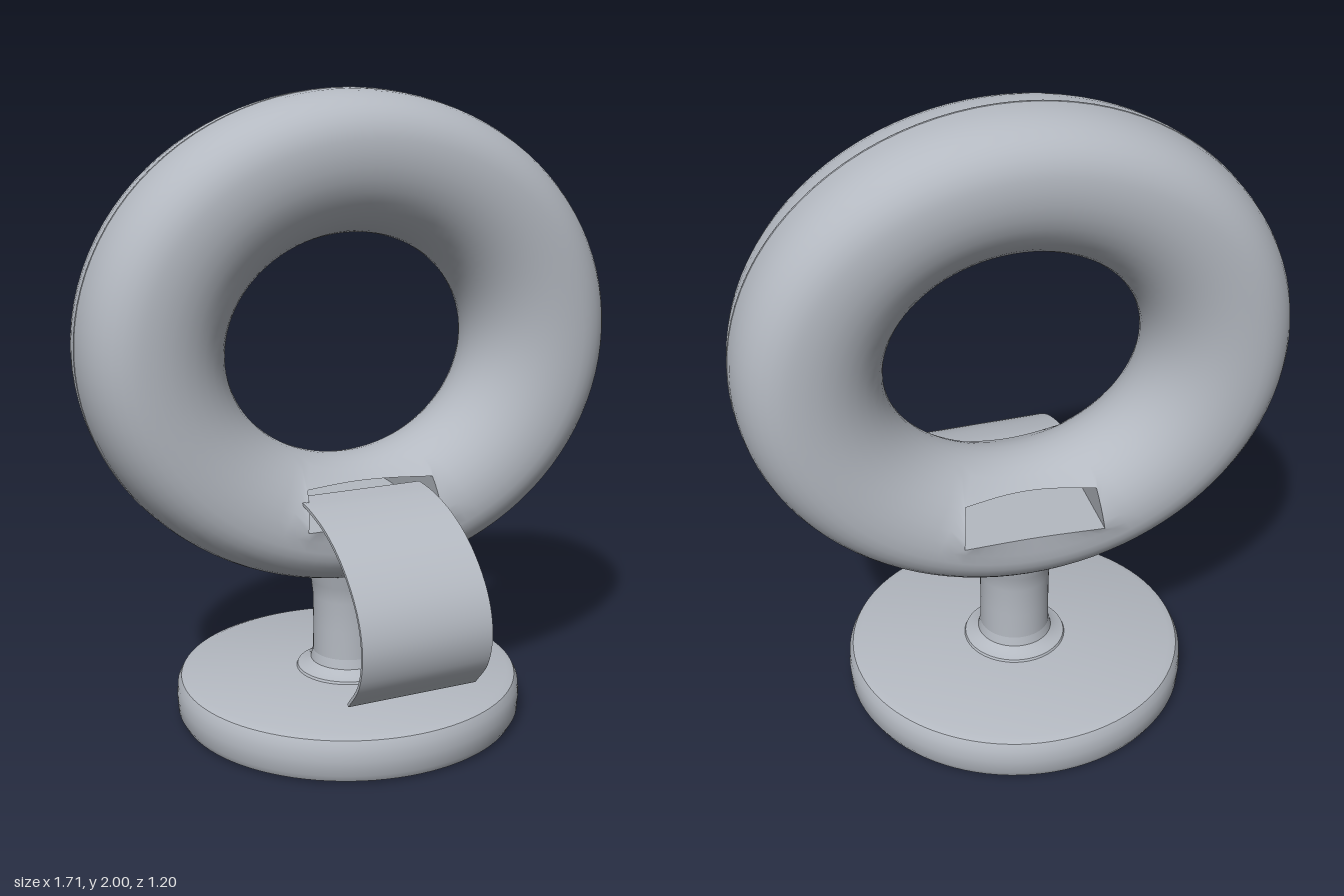
import * as THREE from 'three';
import { toCreasedNormals } from 'three/addons/utils/BufferGeometryUtils.js';

const COLS = 96, ROWS = 40;         // around the ring, around its cross-section
const SLOT = 6, K1 = 11, K2 = 16;   // slot half-width in columns, its lower and upper row
const CREST = 0.67, DEPTH = 0.235, OUT = 0.185, IN = 0.262;

// Ellipse of the ring at nominal radius r
function ellipse(r) {
  const f = (r - 0.408) / 0.447;
  return { ry: 0.35 + 0.41 * f, cy: 1.218 + 0.022 * f };
}

// Half depth of the ring at nominal radius r
function halfDepth(r) {
  const p = r > CREST ? 2.4 : 2;
  const u = Math.min(1, Math.abs(r - CREST) / (r > CREST ? OUT : IN));
  return DEPTH * Math.pow(1 - Math.pow(u, p), 1 / p);
}

// Nominal radius whose ellipse passes through (x, y)
function radiusAt(x, y) {
  let lo = 0.408, hi = 0.855;
  for (let i = 0; i < 30; i++) {
    const r = (lo + hi) / 2, { ry, cy } = ellipse(r);
    if ((x / r) ** 2 + ((y - cy) / ry) ** 2 > 1) lo = r; else hi = r;
  }
  return lo;
}

function ringPoint(col, row) {
  const front = row <= ROWS / 2;
  const k = front ? row : ROWS - row;
  const side = front ? 1 : -1;
  // Straight-edged slot through the bottom of the ring
  if (Math.abs(col) <= SLOT && k >= K1 && k <= K2) {
    const f = (k - K1) / (K2 - K1);
    const x = (0.222 - 0.015 * f) * col / SLOT;
    const y = 0.70 + 0.12 * f;
    return [x, y, side * (halfDepth(radiusAt(x, y)) + 0.012)];
  }
  const phi = k / ROWS * Math.PI * 2, c = Math.cos(phi);
  const p = c > 0 ? 2.4 : 2;
  const r = CREST + Math.sign(c) * (c > 0 ? OUT : IN) * Math.pow(Math.abs(c), 2 / p);
  const w = k === 0 || k === ROWS / 2 ? 0 : DEPTH * Math.pow(Math.sin(phi), 2 / p);
  const a = col / COLS * Math.PI * 2, { ry, cy } = ellipse(r);
  return [r * Math.sin(a), cy - ry * Math.cos(a), side * w];
}

function indexed(positions, index) {
  const g = new THREE.BufferGeometry();
  g.setAttribute('position', new THREE.Float32BufferAttribute(positions, 3));
  g.setIndex(index);
  g.computeVertexNormals();
  return g;
}

function ringGeometry() {
  const pos = [], idx = [];
  const id = (c, r) => ((c + COLS) % COLS) * ROWS + (r % ROWS);
  for (let c = 0; c < COLS; c++) {
    for (let r = 0; r < ROWS; r++) {
      pos.push(...ringPoint(c > COLS / 2 ? c - COLS : c, r));
    }
  }
  for (let c = -COLS / 2; c < COLS / 2; c++) {
    for (let r = 0; r < ROWS; r++) {
      const k = r < ROWS / 2 ? r : ROWS - 1 - r;
      if (c >= -SLOT && c < SLOT && k >= K1 && k < K2) continue;
      const a = id(c, r), b = id(c + 1, r), d = id(c, r + 1), e = id(c + 1, r + 1);
      idx.push(a, b, d, b, e, d);
    }
  }
  return indexed(pos, idx);
}

// Wall joining the front and back openings along a list of [col, row] pairs
function tunnelWall(cells) {
  const pos = [], idx = [];
  cells.forEach(([c, r], i) => {
    pos.push(...ringPoint(c, r), ...ringPoint(c, ROWS - r));
    const v = 2 * i;
    if (i) idx.push(v - 2, v - 1, v, v, v - 1, v + 1);
  });
  return indexed(pos, idx);
}

// Thin curled band, drawn as a side profile and given its width by extrusion
function strapGeometry() {
  const curve = new THREE.CatmullRomCurve3([
    [0.10, 0.787], [0.20, 0.776], [0.33, 0.738], [0.45, 0.665],
    [0.54, 0.56], [0.57, 0.455], [0.548, 0.355], [0.475, 0.267],
  ].map(([z, y]) => new THREE.Vector3(z + 0.055, y, 0)));
  const upper = [], lower = [], n = 36;
  for (let i = 0; i <= n; i++) {
    const p = curve.getPoint(i / n), t = curve.getTangent(i / n);
    upper.push(new THREE.Vector2(p.x - t.y * 0.005, p.y + t.x * 0.005));
    lower.push(new THREE.Vector2(p.x + t.y * 0.005, p.y - t.x * 0.005));
  }
  const g = new THREE.ExtrudeGeometry(new THREE.Shape([...upper, ...lower.reverse()]),
    { depth: 0.42, bevelEnabled: false });
  g.translate(0, 0, -0.21);
  g.rotateY(-Math.PI / 2);
  return toCreasedNormals(g, 0.6);
}

function lathe(points, segments) {
  const g = new THREE.LatheGeometry(points.map(([x, y]) => new THREE.Vector2(x, y)), segments);
  return toCreasedNormals(g, 0.6);
}

export function createModel() {
  const grey = new THREE.MeshStandardMaterial({ color: 0xb4b9c1 });
  grey.name = 'grey';
  grey.side = THREE.DoubleSide;

  const model = new THREE.Group();
  const add = (parent, name, geometry) => {
    const mesh = new THREE.Mesh(geometry, grey);
    mesh.name = name;
    parent.add(mesh);
    return mesh;
  };

  // Round foot, low collar and flared stem
  const stand = new THREE.Group();
  stand.name = 'stand';
  stand.position.z = -0.05;
  model.add(stand);
  const base = add(stand, 'base', lathe([[0, 0], [0.525, 0], [0.545, 0.008], [0.557, 0.03],
    [0.56, 0.075], [0.557, 0.115], [0.545, 0.138], [0.52, 0.148], [0, 0.15]], 96));
  base.scale.z = 0.985;
  add(stand, 'collar', lathe([[0.17, 0.145], [0.165, 0.157], [0.14, 0.165], [0.122, 0.18],
    [0.115, 0.21]], 48));
  add(stand, 'stem', lathe([[0.115, 0.15], [0.113, 0.3], [0.114, 0.4], [0.12, 0.45],
    [0.135, 0.49], [0.14, 0.53]], 48));

  // Upright ring, turned slightly, with the slot through its foot
  const head = new THREE.Group();
  head.name = 'head';
  head.position.z = -0.055;
  head.rotation.y = 0.091;
  model.add(head);
  add(head, 'ring', ringGeometry());
  const across = Array.from({ length: 2 * SLOT + 1 }, (_, i) => i - SLOT);
  const along = Array.from({ length: K2 - K1 + 1 }, (_, i) => K1 + i);
  add(head, 'slotFloor', tunnelWall(across.map(c => [c, K1])));
  add(head, 'slotCeiling', tunnelWall(across.map(c => [c, K2])));
  for (const s of [-1, 1]) {
    add(head, s > 0 ? 'slotLeftEnd' : 'slotRightEnd', tunnelWall(along.map(r => [s * SLOT, r])));
  }

  // Fine seam around the rim
  const rim = Array.from({ length: 64 }, (_, i) => {
    const a = i / 64 * Math.PI * 2;
    return new THREE.Vector3(0.853 * Math.sin(a), 1.24 - 0.758 * Math.cos(a), 0);
  });
  add(head, 'seam', new THREE.TubeGeometry(new THREE.CatmullRomCurve3(rim, true), 128, 0.004, 6, true));

  // Curled strap hanging from the slot
  const strap = add(model, 'strap', strapGeometry());
  strap.position.set(-0.03, 0, -0.055);
  strap.rotation.y = 0.14;

  return model;
}
